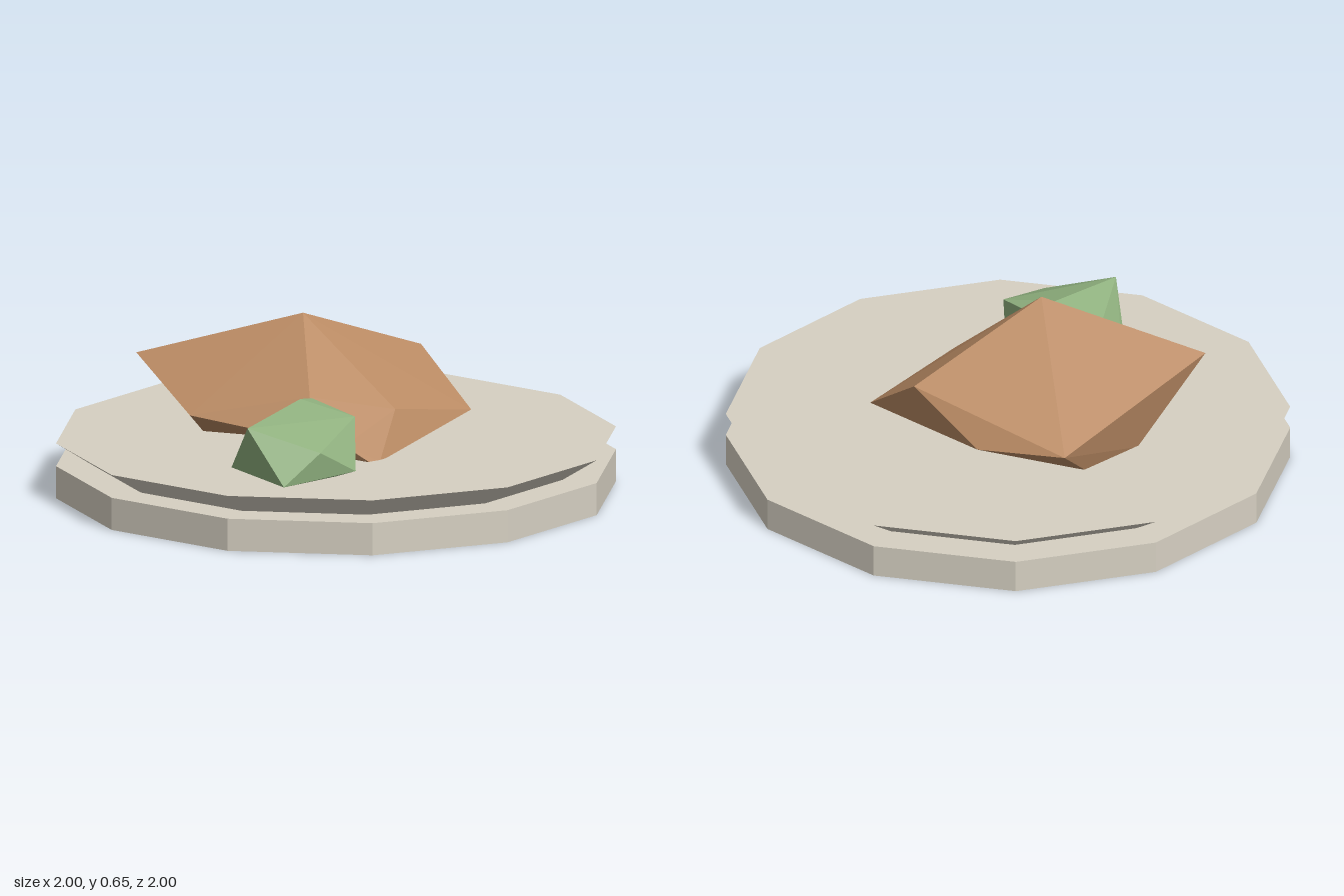
import * as THREE from 'three';
import { ConvexGeometry } from 'three/addons/geometries/ConvexGeometry.js';

const flat = (name, color) => {
  const m = new THREE.MeshStandardMaterial({ color, flatShading: true });
  m.name = name;
  return m;
};

export function createModel() {
  const stone = flat('pale stone', 0xd6d0c2);
  const brown = flat('brown', 0xb98a63);
  const green = flat('leaf green', 0x8fb07e);
  const model = new THREE.Group();
  model.name = 'plateWithFood';

  const add = (name, geometry, material, parent = model) => {
    const mesh = new THREE.Mesh(geometry, material);
    mesh.name = name;
    parent.add(mesh);
    return mesh;
  };
  const chunk = (points) => new ConvexGeometry(points.map((p) => new THREE.Vector3(...p)));

  // Twelve-sided plate: straight base and a flared upper dish
  add('plateBase', new THREE.CylinderGeometry(1, 1, 0.117, 12), stone).position.y = 0.0585;
  add('plateTop', new THREE.CylinderGeometry(1, 0.87, 0.083, 12), stone).position.y = 0.1585;

  // Large faceted chunk: upper body, plus a rear foot that leaves a low arch beneath
  const backLeft = [-0.535, 0.49, -0.465];
  const backRight = [0.13, 0.31, -0.595];
  const sideRight = [0.34, 0.29, -0.345];
  const sideLeft = [-0.56, 0.33, -0.12];
  const large = new THREE.Group();
  large.name = 'largeChunk';
  model.add(large);
  add('largeChunkBody', chunk([
    backLeft, backRight, sideRight, sideLeft,
    [-0.105, 0.65, -0.055], [0.44, 0.452, -0.08], [0.45, 0.265, 0.2],
    [-0.27, 0.415, 0.2], [-0.42, 0.3, 0.14], [0.05, 0.34, 0.28],
    [-0.23, 0.26, 0.35], [-0.15, 0.195, 0.4], [-0.11, 0.195, 0.4],
    [0.08, 0.195, 0.2], [-0.2, 0.195, 0.2], [0.05, 0.235, 0], [-0.3, 0.235, 0],
  ]), brown, large);
  add('largeChunkFoot', chunk([
    backLeft, backRight, sideRight, sideLeft,
    [-0.25, 0.195, -0.47], [0, 0.195, -0.525], [-0.33, 0.195, -0.34],
    [0.1, 0.195, -0.3], [0, 0.195, -0.12], [-0.2, 0.195, -0.14],
  ]), brown, large);

  // Small faceted chunk
  add('smallChunk', chunk([
    [-0.67, 0.39, 0.36], [-0.35, 0.43, 0.25], [-0.26, 0.41, 0.2],
    [-0.245, 0.385, 0.43], [-0.49, 0.31, 0.55], [-0.34, 0.225, 0.56],
    [-0.63, 0.2, 0.52], [-0.59, 0.195, 0.16], [-0.56, 0.2, 0.135],
    [-0.43, 0.3, 0.11], [-0.25, 0.195, 0.42], [-0.3, 0.16, 0.25], [-0.48, 0.14, 0.35],
  ]), green);

  return model;
}
